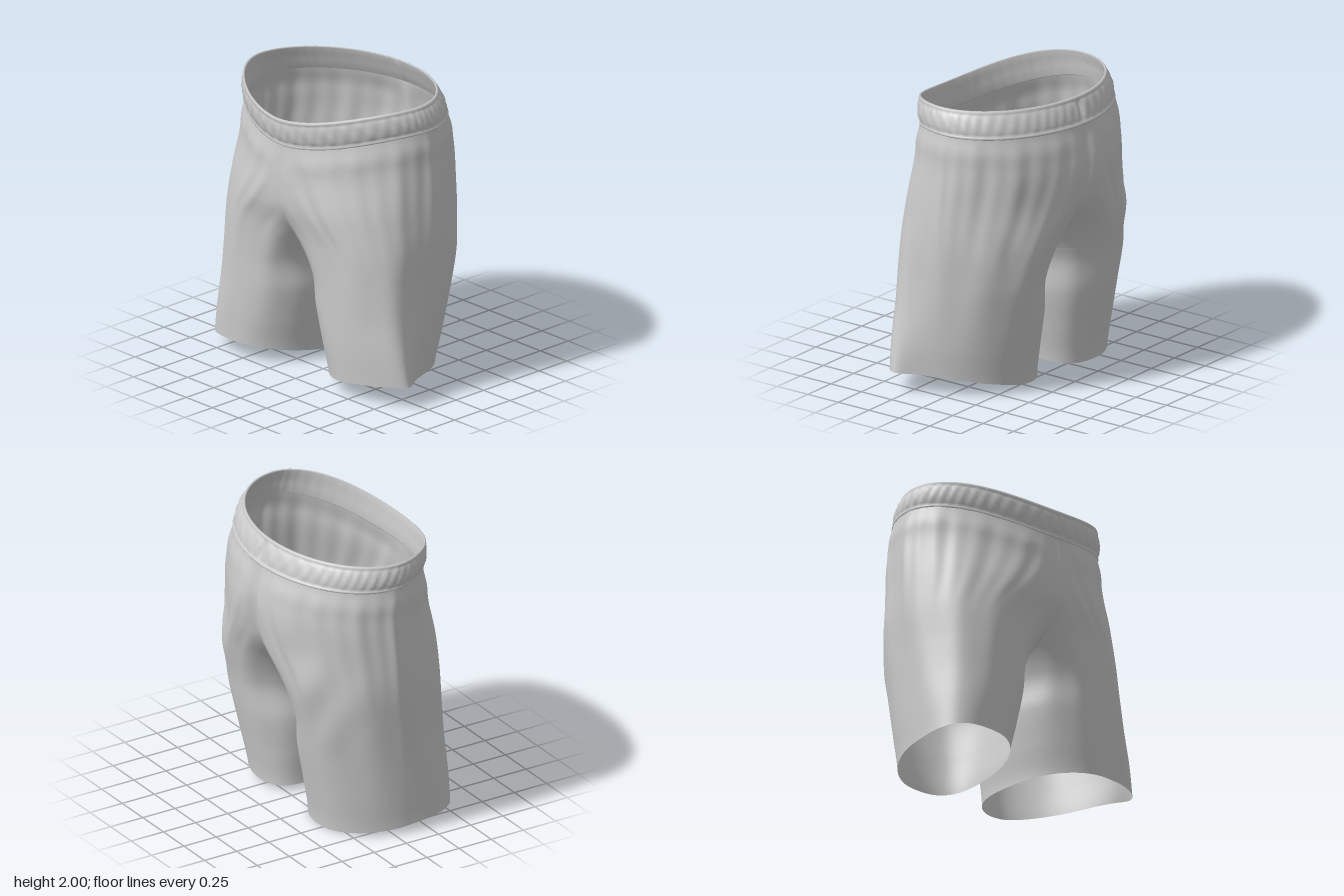
import * as THREE from 'three';
import { mergeGeometries, mergeVertices } from 'three/addons/utils/BufferGeometryUtils.js';

const SEAM_X = -0.04; // the centre seam sits slightly off the axis
const TOP = 1.82;     // nominal height where the cloth meets the waistband
const { smoothstep, lerp } = THREE.MathUtils;
const bell = (v, c, w) => Math.exp(-(((v - c) / w) ** 2));

// Smooth curve through values spaced evenly from hem to waistband
const track = (...values) => {
  const curve = new THREE.SplineCurve(values.map((v) => new THREE.Vector2(v, 0)));
  return (y) => curve.getPoint(y / TOP).x;
};
// Reach of each leg section, outwards and inwards from the seam, and in z
const outer = track(0.82, 0.83, 0.835, 0.84, 0.845, 0.835, 0.815, 0.785);
const inner = track(0.12, 0.075, 0.035, 0.025, -0.13, -0.46, -0.7, -0.785);
const front = track(0.52, 0.53, 0.535, 0.54, 0.555, 0.59, 0.592, 0.57);
const back = track(-0.33, -0.37, -0.42, -0.465, -0.525, -0.575, -0.595, -0.54);
// Squareness of the four quarters of each section
const outFront = track(3.0, 2.7, 2.4, 2.2, 2.1, 2.0, 1.88, 1.82);
const outBack = track(1.9, 1.9, 1.85, 1.8, 1.75, 1.75, 1.85, 1.95);
const inFront = track(2.1, 2.2, 2.4, 2.7, 3.2, 2.8, 2.4, 2.2);
const inBack = track(2.8, 2.6, 2.4, 2.1, 1.9, 1.9, 2.0, 2.0);

const power = (v, e) => Math.sign(v) * Math.abs(v) ** e;
const dip = (z, e) => (Math.max(0, z) / 0.58) ** e;
const bandBottom = (x, z) => 1.81 + 0.03 * x - 0.15 * dip(z, 2.3);
const bandTop = (x, z) => 1.971 + 0.033 * x - 0.125 * dip(z, 2.8);

function grid(rows, cols, flip, point) {
  const positions = [], index = [];
  for (let j = 0; j <= rows; j++) {
    for (let i = 0; i <= cols; i++) positions.push(...point(i / cols, j));
  }
  for (let j = 0; j < rows; j++) {
    for (let i = 0; i < cols; i++) {
      const a = j * (cols + 1) + i, b = a + 1, c = a + cols + 1, d = c + 1;
      if (flip) index.push(a, c, b, b, c, d);
      else index.push(a, b, c, b, d, c);
    }
  }
  const geometry = new THREE.BufferGeometry();
  geometry.setAttribute('position', new THREE.Float32BufferAttribute(positions, 3));
  geometry.setIndex(index);
  return geometry;
}

// Height where the two leg tubes first touch
function crotchHeight() {
  let low = 0.78, high = 1.04;
  for (let k = 0; k < 50; k++) {
    const mid = (low + high) / 2;
    if (inner(mid) > 0) low = mid; else high = mid;
  }
  return low;
}

// Fullness and vertical gathers under the band, slanted folds behind the thigh
function folds(t, y, dx, side) {
  const under = smoothstep(y, 0.8, 1.55) * (1 - 0.8 * smoothstep(y, 1.65, TOP));
  const gathers = 0.006 * Math.sin(23 * t + side) * Math.sin(7 * t + 1.5 * side) * under;
  const drape = 0.005 * Math.sin(10 * t + 1.3 * y + side) * smoothstep(y, 0, 0.9) * (1 - smoothstep(y, 1.4, TOP));
  const slant = 0.01 * Math.sin(8 * t - 13 * y) * bell(t, -1.1, 0.4) * bell(y, 1.05, 0.28);
  const puff = 0.013 * bell(y, 1.71, 0.08);
  return smoothstep(dx, 0, 0.2) * (gathers + drape + slant + puff);
}

// One leg: a closed tube below the crotch, an open half of the hips above it
function legPanel(side) {
  const split = crotchHeight(), low = 40, high = 64;
  return grid(low + high, 160, side < 0, (u, j) => {
    const r = (j - low) / high;
    const y = j <= low ? (split * j) / low : split + (TOP - split) * (0.35 * r + 0.65 * r * r);
    const a = (outer(y) - inner(y)) / 2, cx = (outer(y) + inner(y)) / 2;
    const b = (front(y) - back(y)) / 2, cz = (front(y) + back(y)) / 2;
    const s = 1 - 2 * u;
    const nIn = s > 0 ? inFront(y) : inBack(y), nOut = s > 0 ? outFront(y) : outBack(y);

    // The sweep stops where the section meets the centre seam
    const limit = j <= low ? Math.PI : Math.acos(-(Math.min(1, Math.max(0, cx / a)) ** (nIn / 2)));
    const t = 1.5 * s + (limit - 1.5) * s ** 3;
    const c = Math.cos(t), sn = Math.sin(t), n = c > 0 ? nOut : nIn;
    let dx = cx + a * power(c, 2 / n);
    let z = cz + b * power(sn, 2 / n);
    const f = folds(t, y, dx, side);
    dx += f * c;
    z += f * sn;
    if (j >= low && (u === 0 || u === 1)) dx = 0;

    // Centre back crease and shallow front fly seam
    if (z < 0) z += 0.035 * bell(dx, 0, 0.05) * bell(y, 1.5, 0.25);
    else z -= 0.006 * bell(dx, 0, 0.015) * smoothstep(y, 1.3, 1.5);

    // Towards the hem the legs skew, the left one flaring to its front corner
    const loose = Math.max(0, 1 - y / 0.8) ** 1.4;
    const outside = smoothstep(dx, 0.3, 0.85);
    if (side > 0) {
      const spread = Math.max(0, 1 - y / 1.2) ** 1.2;
      dx += loose * (0.17 * (z - cz) - 0.02 * (1 - outside));
      dx += spread * outside * (0.15 * bell(z, 0.42, 0.24) - 0.04);
      z -= 0.08 * outside * loose * smoothstep(z, 0.2, 0.5);
    } else {
      dx += loose * (0.1 * (z - cz) + 0.015 * outside);
    }

    // Slanted hem below, dipped waist above
    const x = SEAM_X + side * dx;
    const along = (z + 0.33) / 0.85;
    const hem = side > 0 ? 0.03 + 0.075 * along + 0.06 * outside : 0.002 + 0.108 * along;
    const lift = hem * loose + (bandBottom(x, z) - TOP) * smoothstep(y, 0.9, TOP);
    return [x, y + lift, z];
  });
}

// Elastic waistband: a padded section swept around the dipped waist
function waistband() {
  // [outward offset, share of the band height, wrinkle strength]
  const section = [
    [-0.01, -0.04, 0], [0.002, -0.08, 0], [0.008, -0.04, 0.1], [0.008, 0.02, 0.1], [0.001, 0.06, 0.1],
    [0.006, 0.14, 0.4], [0.011, 0.3, 1], [0.013, 0.5, 1], [0.011, 0.7, 1], [0.006, 0.84, 0.5],
    [0.001, 0.89, 0.1], [0.007, 0.94, 0.1], [0.005, 1.01, 0.1], [-0.004, 1.03, 0],
    [-0.012, 0.97, 0], [-0.011, 0.7, 0.3], [-0.01, 0.35, 0.3], [-0.01, -0.04, 0],
  ];
  const geometry = grid(section.length - 1, 320, false, (u, j) => {
    const [offset, h, strength] = section[j];
    const t = -u * Math.PI * 2;
    const c = Math.cos(t), s = Math.sin(t), n = s > 0 ? 1.82 : 1.95;
    const ruffle = 0.0035 * strength * (Math.sin(57 * t + 5 * h + 2 * Math.sin(5 * t)) + 0.6 * Math.sin(34 * t - 6 * h));
    const pinch = s < 0 ? -0.02 * strength * bell(c, 0, 0.035) : 0;
    const out = offset + ruffle + pinch;
    const a = lerp(0.785, 0.755, h * h) + out;
    const zf = lerp(0.57, 0.593, h) + out, zb = lerp(-0.54, -0.475, h) - out;
    const x = lerp(SEAM_X, -0.05, h) + a * power(c, 2 / n);
    const z = (zf + zb) / 2 + ((zf - zb) / 2) * power(s, 2 / n);
    return [x, lerp(bandBottom(x, z), bandTop(x, z), h), z];
  });
  return mergeVertices(geometry);
}

export function createModel() {
  const cloth = new THREE.MeshStandardMaterial({ color: 0xcccccc, side: THREE.DoubleSide, roughness: 0.8 });
  const group = new THREE.Group();
  group.name = 'shorts';
  const add = (name, geometry) => {
    geometry.computeVertexNormals();
    const mesh = new THREE.Mesh(geometry, cloth);
    mesh.name = name;
    group.add(mesh);
  };
  // Both panels are welded along the centre seam and the inseams
  add('legsAndHips', mergeVertices(mergeGeometries([legPanel(1), legPanel(-1)])));
  add('waistband', waistband());
  return group;
}
